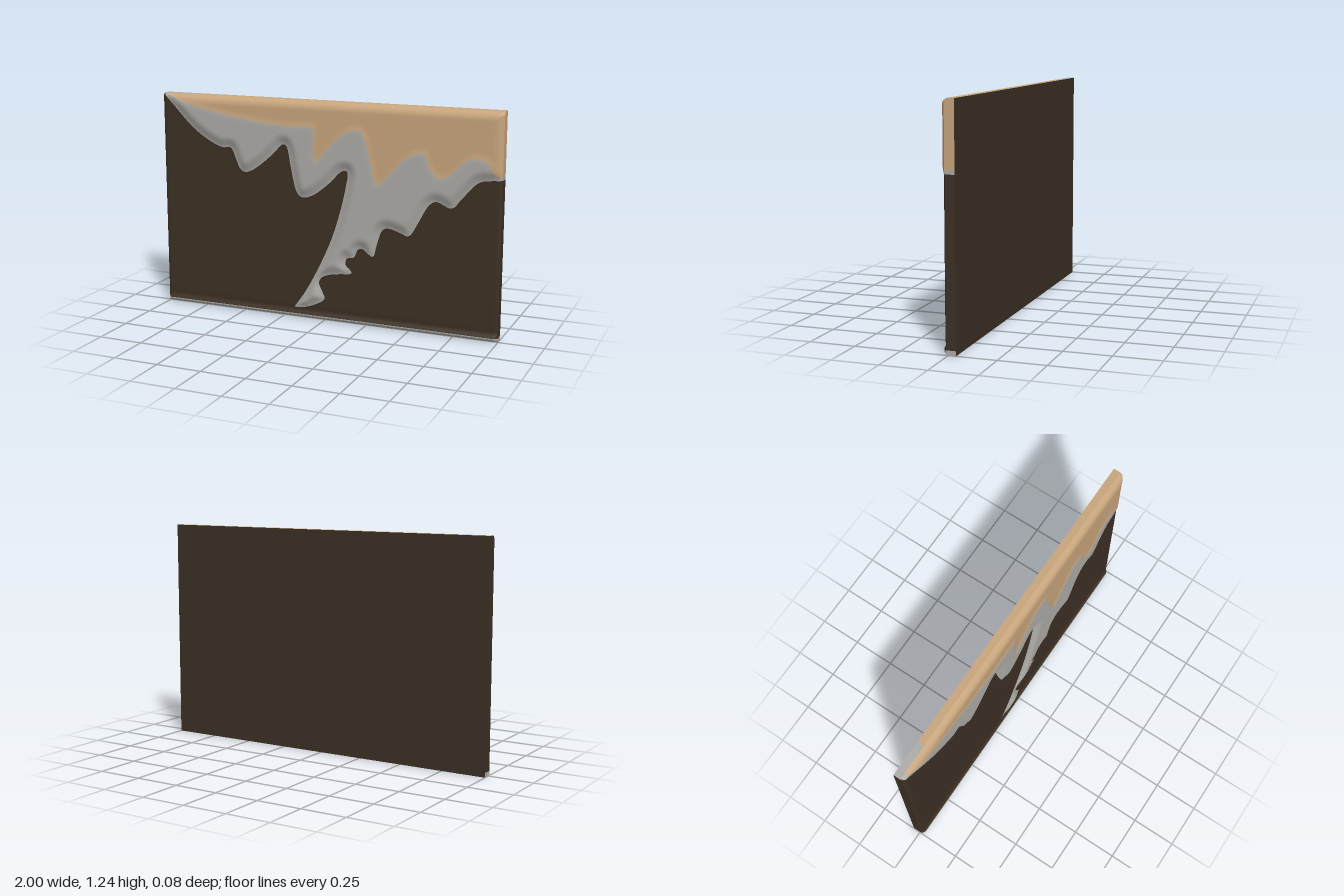
import * as THREE from 'three';
import { mergeVertices } from 'three/addons/utils/BufferGeometryUtils.js';

const H = 1.24, BACK = -0.04, STRIP = 0.025;

const mat = (name, color) => {
  const m = new THREE.MeshStandardMaterial({ color });
  m.name = name;
  return m;
};

// lower edge of the raised wave, left to right
const WAVE = [
  [-1, 1.24], [-0.93, 1.17], [-0.82, 1.06], [-0.72, 0.99], [-0.63, 0.95], [-0.57, 0.95], [-0.54, 0.89],
  [-0.51, 0.83], [-0.46, 0.82], [-0.38, 0.87], [-0.3, 0.94], [-0.25, 0.99], [-0.22, 0.97], [-0.2, 0.87],
  [-0.17, 0.74], [-0.13, 0.7], [-0.06, 0.72], [0.03, 0.79], [0.1, 0.86], [0.14, 0.86], [0.13, 0.78],
  [0.1, 0.65], [0.05, 0.49], [-0.02, 0.33], [-0.1, 0.18], [-0.16, 0.09], [-0.18, 0.06], [-0.1, 0.07],
  [0, 0.12], [-0.01, 0.17], [-0.03, 0.22], [0, 0.26], [0.08, 0.28], [0.16, 0.29], [0.16, 0.31],
  [0.13, 0.34], [0.14, 0.38], [0.18, 0.385], [0.2, 0.43], [0.23, 0.44], [0.29, 0.4], [0.31, 0.46],
  [0.34, 0.55], [0.38, 0.57], [0.45, 0.55], [0.5, 0.54], [0.55, 0.62], [0.6, 0.71], [0.65, 0.74],
  [0.73, 0.71], [0.78, 0.76], [0.85, 0.84], [0.9, 0.87], [1, 0.88]
];
// lower edge of the tan field, left to right
const FIELD = [
  [-0.97, 1.232], [-0.8, 1.18], [-0.6, 1.14], [-0.4, 1.11], [-0.2, 1.095], [-0.08, 1.1], [-0.055, 1.07],
  [-0.06, 0.95], [-0.04, 0.91], [0, 0.95], [0.08, 1.04], [0.15, 1.09], [0.22, 1.09], [0.26, 1],
  [0.3, 0.83], [0.33, 0.81], [0.38, 0.86], [0.46, 0.95], [0.53, 0.99], [0.58, 0.99], [0.61, 0.92],
  [0.66, 0.87], [0.72, 0.89], [0.78, 0.95], [0.85, 0.99], [0.92, 0.97], [0.96, 0.91], [1, 0.89]
];

// closed outline running past the panel at the top and right
function outline(points) {
  const curve = new THREE.SplineCurve(points.map(p => new THREE.Vector2(...p)));
  const [x0] = points[0], y1 = points[points.length - 1][1];
  const out = curve.getPoints((points.length - 1) * 4).map(p => [p.x, p.y]);
  return [...out, [1.4, y1], [1.4, 1.7], [x0 - 0.02, 1.7]];
}

// signed distance, positive inside
function distance(poly, x, y) {
  let best = Infinity, inside = false;
  for (let i = 0, j = poly.length - 1; i < poly.length; j = i++) {
    const [ax, ay] = poly[j], [bx, by] = poly[i];
    const dx = bx - ax, dy = by - ay;
    const t = Math.min(1, Math.max(0, ((x - ax) * dx + (y - ay) * dy) / (dx * dx + dy * dy || 1)));
    best = Math.min(best, Math.hypot(x - ax - t * dx, y - ay - t * dy));
    if ((ay > y) !== (by > y) && x < ax + (y - ay) / dy * dx) inside = !inside;
  }
  return inside ? best : -best;
}

const smooth = THREE.MathUtils.smoothstep;
const round = t => (t >= 1 ? 1 : Math.sqrt(1 - (1 - t) ** 2));

// profile of the rolled lip along the bottom
const LIP = [[0, 0], [0.005, 0.014], [0.012, 0.024], [0.02, 0.03], [0.03, 0.026], [0.05, 0.016], [0.08, 0.02]];
function lip(y) {
  for (let i = 1; i < LIP.length; i++) {
    const [a, za] = LIP[i - 1], [b, zb] = LIP[i];
    if (y <= b) return za + (zb - za) * (y - a) / (b - a);
  }
  return 1;
}

// relief height from the distances to the two outlines
function height(x, y, wave, field) {
  let z = 0.019 + 0.019 * smooth(wave, -0.005, 0.06) - 0.005 * smooth(field, -0.015, 0.03);
  if (y < 0.08) z = y < 0.05 ? lip(y) : Math.min(lip(y), z);
  z = Math.min(z, 0.038 * round((H - y) / 0.08));
  const side = 1 - Math.abs(x);
  return Math.min(z, 0.012 + 0.026 * round(side / 0.1));
}

// keep the part of a polygon where f is positive; corners are [x, y, z, wave, field, strip]
function clip(poly, f) {
  const out = [];
  poly.forEach((a, i) => {
    const b = poly[(i + 1) % poly.length], fa = f(a), fb = f(b);
    if (fa >= 0) out.push(a);
    if ((fa >= 0) !== (fb >= 0)) out.push(a.map((v, k) => v + (b[k] - v) * fa / (fa - fb)));
  });
  return out;
}

function meshFrom(name, positions, material) {
  let g = new THREE.BufferGeometry();
  g.setAttribute('position', new THREE.Float32BufferAttribute(positions, 3));
  g = mergeVertices(g, 1e-5);
  g.computeVertexNormals();
  const mesh = new THREE.Mesh(g, material);
  mesh.name = name;
  return mesh;
}

export function createModel() {
  const group = new THREE.Group();
  group.name = 'reliefPanel';
  const dark = mat('dark brown', 0x3c3024);
  const grey = mat('grey', 0xaeaca7);
  const tan = mat('tan', 0xc8a57c);

  const wavePoly = outline(WAVE), fieldPoly = outline(FIELD);
  const point = (x, y) => {
    const w = distance(wavePoly, x, y), f = distance(fieldPoly, x, y);
    return [x, y, height(x, y, w, f), w, f, STRIP - y];
  };

  // sculpted front, split cleanly along the colour edges
  const ys = [0, 0.005, 0.012, 0.02, 0.025, 0.03, 0.04, 0.05];
  for (let i = 1; i <= 96; i++) ys.push(0.05 + (H - 0.05) * i / 96);
  const NX = 160;
  const grid = ys.map(y => Array.from({ length: NX + 1 }, (_, i) => point(-1 + 2 * i / NX, y)));
  const regions = [
    ['darkFront', dark, [p => -p[5], p => -p[3], p => -p[4]]],
    ['greyWave', grey, [p => -p[5], p => p[3], p => -p[4]]],
    ['tanField', tan, [p => -p[5], p => p[4]]],
    ['bottomLip', grey, [p => p[5]]]
  ];
  for (const [name, material, tests] of regions) {
    const pos = [];
    const add = tri => {
      const poly = tests.reduce((p, f) => (p.length ? clip(p, f) : p), tri);
      for (let k = 2; k < poly.length; k++) {
        const [a, b, c] = [poly[0], poly[k - 1], poly[k]];
        const area = (b[0] - a[0]) * (c[1] - a[1]) - (b[1] - a[1]) * (c[0] - a[0]);
        if (area > 1e-9) for (const p of [a, b, c]) pos.push(p[0], p[1], p[2]);
      }
    };
    for (let j = 0; j < ys.length - 1; j++) {
      for (let i = 0; i < NX; i++) {
        const a = grid[j][i], b = grid[j][i + 1], c = grid[j + 1][i + 1], d = grid[j + 1][i];
        add([a, b, c]);
        add([a, c, d]);
      }
    }
    group.add(meshFrom(name, pos, material));
  }

  // rim walls, counter-clockwise around the panel
  const walls = [
    ['bottomEdge', grey, [-1, 0], [1, 0]],
    ['rightLipEdge', grey, [1, 0], [1, STRIP]],
    ['rightDarkEdge', dark, [1, STRIP], [1, 0.88]],
    ['rightGreyEdge', grey, [1, 0.88], [1, 0.9]],
    ['rightTanEdge', tan, [1, 0.9], [1, H]],
    ['topTanEdge', tan, [1, H], [-0.8, H]],
    ['topGreyEdge', grey, [-0.8, H], [-1, H]],
    ['leftDarkEdge', dark, [-1, H], [-1, STRIP]],
    ['leftLipEdge', grey, [-1, STRIP], [-1, 0]]
  ];
  for (const [name, material, [ax, ay], [bx, by]] of walls) {
    const n = Math.max(4, Math.ceil(Math.hypot(bx - ax, by - ay) / 0.0125)), pos = [];
    const at = t => point(ax + (bx - ax) * t, ay + (by - ay) * t);
    for (let i = 0; i < n; i++) {
      const [x, y, z] = at(i / n), [u, v, w] = at((i + 1) / n);
      pos.push(x, y, BACK, u, v, BACK, u, v, w, x, y, BACK, u, v, w, x, y, z);
    }
    group.add(meshFrom(name, pos, material));
  }

  // flat back
  const back = new THREE.Mesh(new THREE.PlaneGeometry(2, H), dark);
  back.name = 'back';
  back.rotation.y = Math.PI;
  back.position.set(0, H / 2, BACK);
  group.add(back);

  return group;
}
